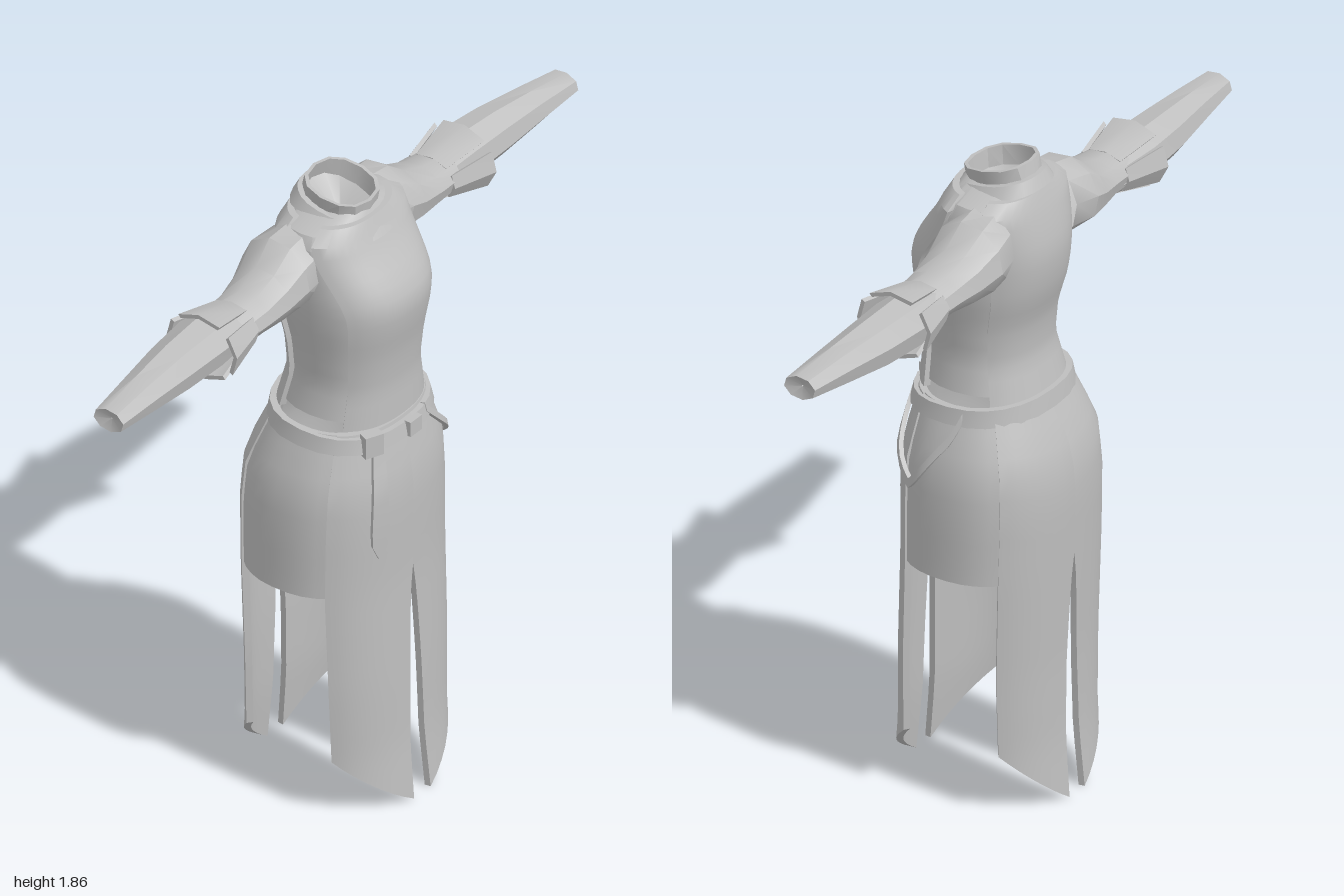
import * as THREE from 'three';
import { toCreasedNormals } from 'three/addons/utils/BufferGeometryUtils.js';

const cloth = new THREE.MeshStandardMaterial({ color: 0xbebebe, side: THREE.DoubleSide });
cloth.name = 'grey cloth';
const { lerp } = THREE.MathUtils;

// Cross-sections: [y, half width, front z, back z]
const SKIRT = [
  [0, 0.28, 0.257, -0.25], [0.18, 0.28, 0.24, -0.235], [0.4, 0.29, 0.235, -0.232],
  [0.7, 0.295, 0.225, -0.24], [0.9, 0.291, 0.228, -0.245], [1.02, 0.28, 0.225, -0.235],
  [1.1, 0.248, 0.205, -0.2], [1.18, 0.215, 0.19, -0.165],
];
const TORSO = [
  [1.19, 0.2, 0.195, -0.16], [1.3, 0.178, 0.19, -0.132], [1.4, 0.186, 0.2, -0.14],
  [1.5, 0.2, 0.22, -0.17], [1.57, 0.203, 0.225, -0.18], [1.63, 0.203, 0.195, -0.18],
  [1.7, 0.206, 0.145, -0.165], [1.75, 0.206, 0.118, -0.15], [1.78, 0.17, 0.105, -0.14],
  [1.8, 0.1, 0.09, -0.125],
];
// Sleeve sections: [x, centre y, centre z, half height, half depth]
const UPPER_ARM = [
  [0.15, 1.66, -0.05, 0.115, 0.1], [0.23, 1.655, -0.055, 0.107, 0.112], [0.3, 1.63, -0.05, 0.08, 0.097],
  [0.38, 1.62, -0.045, 0.06, 0.086], [0.47, 1.615, -0.045, 0.054, 0.08],
];
const FOREARM = [
  [0.42, 1.61, -0.05, 0.058, 0.072], [0.56, 1.61, -0.055, 0.073, 0.085], [0.7, 1.608, -0.05, 0.069, 0.076],
  [0.85, 1.61, -0.04, 0.054, 0.062], [1, 1.612, -0.03, 0.034, 0.05], [0.985, 1.612, -0.03, 0.002, 0.002],
];
const CUFF = [[0.43, 1.613, -0.045, 0.062, 0.086], [0.57, 1.608, -0.045, 0.098, 0.118]];

// Interpolated row of a section table
function sample(table, key) {
  let i = 0;
  while (i < table.length - 2 && key > table[i + 1][0]) i++;
  const t = (key - table[i][0]) / (table[i + 1][0] - table[i][0]);
  return table[i].map((a, k) => lerp(a, table[i + 1][k], t));
}

// Point on a rounded section; angle 0 is the front, inset moves it inwards
function around(rx, zf, zb, y, angle, inset = 0) {
  const p = (v) => Math.sign(v) * Math.abs(v) ** 0.85;
  return [(rx - inset) * p(Math.sin(angle)), y, (zf + zb) / 2 + ((zf - zb) / 2 - inset) * p(Math.cos(angle))];
}
function onBody(table, y, angle, inset) {
  const [, rx, zf, zb] = sample(table, y);
  return around(rx, zf, zb, y, angle, inset);
}

// Sheet over (u, v) in 0..1, with an inner side and rim if it has a thickness
function sheet(nu, nv, f, thickness = 0) {
  const pos = [], index = [], layer = (nu + 1) * (nv + 1);
  const at = (i, j, inner = 0) => inner * layer + j * (nu + 1) + i;
  const quad = (a, b, c, d) => index.push(a, b, c, a, c, d);
  for (const d of thickness ? [0, thickness] : [0])
    for (let j = 0; j <= nv; j++)
      for (let i = 0; i <= nu; i++) pos.push(...f(i / nu, j / nv, d));
  for (let j = 0; j < nv; j++)
    for (let i = 0; i < nu; i++) {
      quad(at(i, j), at(i + 1, j), at(i + 1, j + 1), at(i, j + 1));
      if (thickness) quad(at(i, j, 1), at(i, j + 1, 1), at(i + 1, j + 1, 1), at(i + 1, j, 1));
    }
  if (thickness) {
    for (let i = 0; i < nu; i++) {
      quad(at(i, 0, 1), at(i + 1, 0, 1), at(i + 1, 0), at(i, 0));
      quad(at(i, nv), at(i + 1, nv), at(i + 1, nv, 1), at(i, nv, 1));
    }
    for (let j = 0; j < nv; j++) {
      quad(at(0, j, 1), at(0, j), at(0, j + 1), at(0, j + 1, 1));
      quad(at(nu, j), at(nu, j, 1), at(nu, j + 1, 1), at(nu, j + 1));
    }
  }
  const g = new THREE.BufferGeometry();
  g.setAttribute('position', new THREE.Float32BufferAttribute(pos, 3));
  g.setIndex(index);
  return toCreasedNormals(g, 0.6);
}

// Closed band between two tilted rings: [half width, front z, back z, front y, back y]
function band(low, high, thickness, sides = 24) {
  return sheet(sides, 1, (u, v, d) => {
    const [rx, zf, zb, yf, yb] = low.map((a, k) => lerp(a, high[k], v));
    const a = u * Math.PI * 2;
    return around(rx, zf, zb, lerp(yb, yf, (1 + Math.cos(a)) / 2), a, d);
  }, thickness);
}

// Part of a sleeve running outwards along x
function sleeve(rows, side, a0, a1, sides, thickness) {
  return sheet(sides, rows.length - 1, (u, v, d) => {
    const [x, y, z, ry, rz] = rows[Math.round(v * (rows.length - 1))];
    const a = lerp(a0, a1, u);
    return [side * x, y + (ry - d) * Math.cos(a), z + side * (rz - d) * Math.sin(a)];
  }, thickness);
}

export function createModel() {
  const model = new THREE.Group();
  const add = (name, geometry) => {
    const mesh = new THREE.Mesh(geometry, cloth);
    mesh.name = name;
    model.add(mesh);
    return mesh;
  };
  const PI = Math.PI;

  // Bodice with a raised panel on the front and the back
  add('bodice', sheet(24, 18, (u, v) => onBody(TORSO, lerp(1.21, 1.8, v), u * 2 * PI, 0.012)));
  for (const [name, centre] of [['frontBodicePanel', 0], ['backBodicePanel', PI]])
    add(name, sheet(16, 18, (u, v, d) => {
      const y = lerp(1.19, 1.785, v);
      const half = lerp(1.0, 1.25, THREE.MathUtils.smoothstep(y, 1.5, 1.75));
      return onBody(TORSO, y, centre + lerp(-half, half, u), d);
    }, 0.018));

  // Neck
  add('neckBand', band([0.128, 0.132, -0.145, 1.73, 1.795], [0.102, 0.1, -0.128, 1.778, 1.828], 0.015));
  add('standingCollar', band([0.084, 0.078, -0.122, 1.755, 1.81], [0.095, 0.086, -0.106, 1.822, 1.862], 0.01, 12));
  add('collarLining', band([0.01, -0.01, -0.03, 1.74, 1.74], [0.082, 0.075, -0.115, 1.77, 1.82], 0, 12));

  // Split skirt: each half hangs to a point beside the slit
  for (const [name, centre, edge] of [['frontSkirt', 0, 1.02], ['backSkirt', PI, 0.92]])
    for (const s of [-1, 1])
      add(name, sheet(8, 18, (u, v, d) => {
        const out = s > 0 ? u : 1 - u;
        const y = lerp(0.18 * out, 1.18, v);
        const slit = 0.09 * Math.max(0, (0.7 - y) / 0.7) ** 0.6;
        return onBody(SKIRT, y, centre + s * lerp(slit, edge, out), d);
      }, 0.018));

  // Short hip panels between the skirts
  for (const s of [-1, 1])
    add('hipPanel', sheet(8, 8, (u, v, d) => {
      const a = s > 0 ? lerp(0.98, PI - 0.88, u) : lerp(PI + 0.88, 2 * PI - 0.98, u);
      return onBody(SKIRT, lerp(0.7, 1.18, v), a, 0.005 + d);
    }, 0.012));

  // Belt, buckle, hanging sash and looped strap
  add('belt', band([0.232, 0.216, -0.182, 1.128, 1.145], [0.222, 0.208, -0.174, 1.17, 1.195], 0.018));
  add('buckle', new THREE.BoxGeometry(0.05, 0.045, 0.02)).position.set(0.015, 1.15, 0.215);
  const knot = add('sashKnot', new THREE.BoxGeometry(0.055, 0.065, 0.03));
  knot.position.set(-0.13, 1.155, 0.187);
  knot.rotation.y = -0.4;
  add('sash', sheet(2, 8, (u, v, d) => {
    const half = v < 0.15 ? lerp(0.01, 0.1, v / 0.15) : lerp(0.1, 0.075, v);
    return onBody(SKIRT, lerp(0.81, 1.16, v), -0.42 + lerp(-half, half, u), d - 0.02);
  }, 0.015));
  add('hipStrap', sheet(16, 1, (u, v, d) => {
    const t = Math.abs(u - 0.5) * 2;
    const angle = u < 0.5 ? lerp(1.19, 0.32, t) : lerp(1.19, 1.75, t);
    return onBody(SKIRT, lerp(0.955, 1.16, t ** 1.2) + (v - 0.5) * 0.028, angle, d - 0.016);
  }, 0.012));

  // Sleeves with flared, slit elbow cuffs
  for (const s of [-1, 1]) {
    add('upperSleeve', sleeve(UPPER_ARM, s, 0.2, 2 * PI + 0.2, 10, 0));
    add('lowerSleeve', sleeve(FOREARM, s, 0.2, 2 * PI + 0.2, 8, 0));
    for (let k = 0; k < 4; k++) {
      const centre = (k * PI) / 2 + 0.1;
      add('cuffFlap', sleeve(CUFF, s, centre - 0.62, centre + 0.62, 2, 0.012));
    }
  }
  return model;
}
